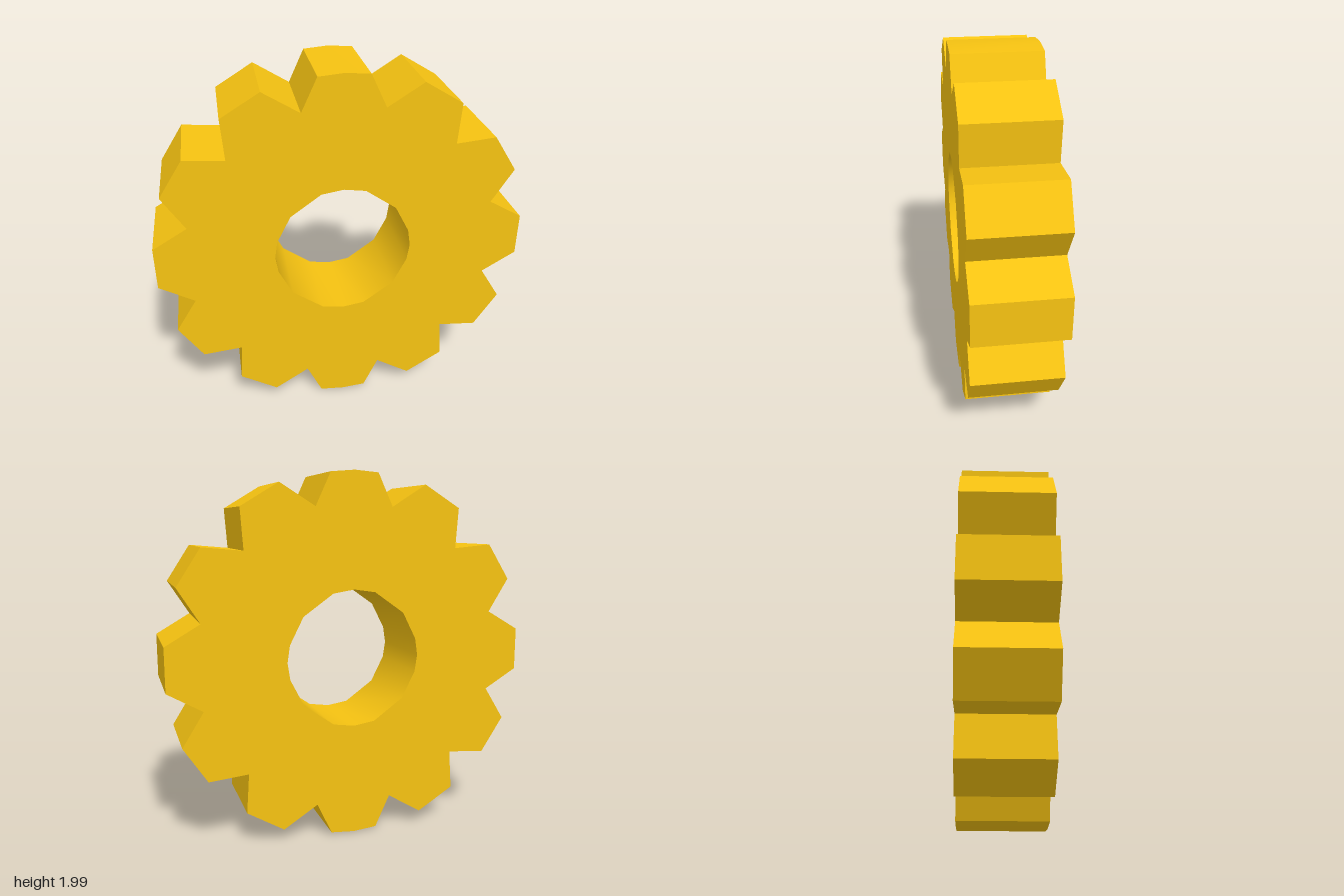
import * as THREE from 'three';
import { toCreasedNormals } from 'three/addons/utils/BufferGeometryUtils.js';

const DEPTH = 0.47;
const CENTRE_Y = 0.993;

// One quarter of each outline, from the +x side round to the top
const TEETH_QUARTER = [
  [1, 0.118], [0.815, 0.226], [0.93, 0.41], [0.803, 0.605], [0.59, 0.586],
  [0.605, 0.803], [0.403, 0.925], [0.213, 0.807], [0.131, 0.982], [0, 0.993],
];
const BORE_QUARTER = [[0.372, 0], [0.358, 0.093], [0.283, 0.24], [0.118, 0.357], [0, 0.375]];

// Mirror a quarter outline into a closed loop, skipping points shared on the axes
function mirrorLoop(quarter) {
  const half = [...quarter, ...quarter.filter(([x]) => x > 0).reverse().map(([x, y]) => [-x, y])];
  const lower = half.filter(([, y]) => y > 0).reverse().map(([x, y]) => [x, -y]);
  return [...half, ...lower].map(([x, y]) => new THREE.Vector2(x, y));
}

export function createModel() {
  const group = new THREE.Group();
  group.name = 'gear';

  // Twelve-toothed wheel with a round bore through it
  const outline = new THREE.Shape(mirrorLoop(TEETH_QUARTER));
  outline.holes.push(new THREE.Path(mirrorLoop(BORE_QUARTER)));
  const extruded = new THREE.ExtrudeGeometry(outline, { depth: DEPTH, bevelEnabled: false });
  extruded.translate(0, CENTRE_Y, -DEPTH / 2);

  // Smooth bore wall, sharp teeth
  const wheel = new THREE.Mesh(
    toCreasedNormals(extruded, 0.65),
    new THREE.MeshStandardMaterial({ color: 0xf5c211 })
  );
  wheel.name = 'toothedWheel';
  group.add(wheel);
  return group;
}
